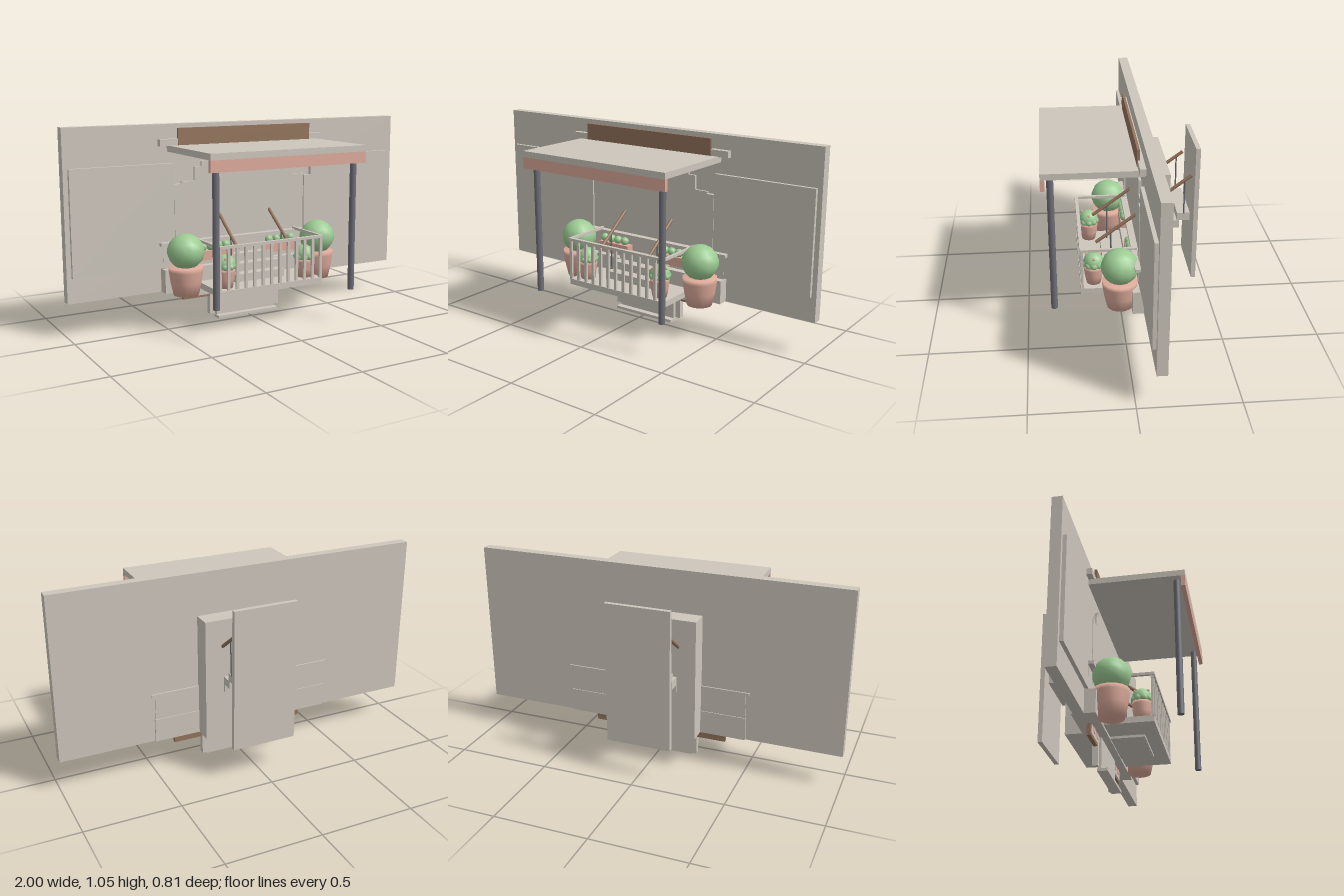
import * as THREE from 'three';

export function createModel() {
  const model = new THREE.Group();
  const mat = (name, color) => {
    const m = new THREE.MeshStandardMaterial({ color });
    m.name = name;
    return m;
  };
  const stone = mat('stone', 0xcdc6bc);
  const clay = mat('clay', 0xdeab9b);
  const leaf = mat('leaf', 0x9ccb93);
  const wood = mat('wood', 0x94745c);
  const iron = mat('iron', 0x6e6f78);

  const add = (name, geo, m, x = 0, y = 0, z = 0) => {
    const mesh = new THREE.Mesh(geo, m);
    mesh.name = name;
    mesh.position.set(x, y, z);
    model.add(mesh);
    return mesh;
  };
  // Box given by its ranges on each axis
  const box = (name, m, x0, x1, y0, y1, z0, z1) =>
    add(name, new THREE.BoxGeometry(x1 - x0, y1 - y0, z1 - z0), m, (x0 + x1) / 2, (y0 + y1) / 2, (z0 + z1) / 2);
  // The same box on both sides
  const pair = (name, m, x0, x1, ...rest) => {
    box(name + 'Left', m, x0, x1, ...rest);
    box(name + 'Right', m, -x1, -x0, ...rest);
  };
  // Round bar between two points
  const bar = (name, m, a, b, r, sides = 10) => {
    const dir = b.clone().sub(a);
    const mesh = add(name, new THREE.CylinderGeometry(r, r, dir.length(), sides), m);
    mesh.position.copy(a).addScaledVector(dir, 0.5);
    mesh.quaternion.setFromUnitVectors(new THREE.Vector3(0, 1, 0), dir.normalize());
  };
  const v = (x, y, z) => new THREE.Vector3(x, y, z);

  // Wall with raised side panels
  box('wall', stone, -1, 1, 0.18, 1.055, -0.143, -0.09);
  pair('wallPanel', stone, 0.42, 0.975, 0.31, 0.855, -0.091, -0.071);

  // Stepped door surround
  const steps = [[0.375, 0.18], [0.375, 0.755], [0.3, 0.755], [0.3, 0.83], [0.26, 0.83], [0.26, 0.857]];
  const outline = [...steps, ...steps.slice().reverse().map(([x, y]) => [-x, y])];
  const surround = new THREE.Shape(outline.map(([x, y]) => new THREE.Vector2(x, y)));
  add('doorSurround', new THREE.ExtrudeGeometry(surround, { depth: 0.014, bevelEnabled: false }), stone, 0, 0, -0.091);
  pair('pilaster', stone, 0.375, 0.42, 0.3, 0.745, -0.091, -0.068);

  // Low base wall, middle course and sill
  box('baseCourse', stone, -0.495, 0.495, 0.18, 0.305, -0.153, -0.033);
  box('middleCourse', stone, -0.49, 0.49, 0.305, 0.43, -0.149, -0.07);
  box('sill', stone, -0.51, 0.51, 0.43, 0.447, -0.15, -0.042);

  // Rear stair housing and back plate
  box('stairHousing', stone, -0.25, 0.25, 0.18, 0.83, -0.243, -0.14);
  box('backPlate', stone, -0.175, 0.17, 0.18, 0.93, -0.405, -0.381);

  // Stair flight
  for (let i = 0; i < 9; i++) {
    const top = 0.563 - i * 0.0424, z = -0.365 + i * 0.0555;
    box('stairTread', stone, -0.15, 0.15, top - 0.043, top, z, z + 0.067);
  }

  // Canopy, fascia, sign board and ledge
  box('canopy', stone, -0.45, 0.445, 0.915, 0.947, -0.09, 0.405);
  box('fascia', clay, -0.45, 0.445, 0.856, 0.915, 0.384, 0.405);
  box('signBoard', wood, -0.4, 0.4, 0.945, 1.035, -0.07, -0.057);
  box('ledge', stone, -0.5, 0.5, 0.945, 0.98, -0.09, -0.06);

  // Balcony floor and railing
  box('balconyFloor', stone, -0.31, 0.31, 0.193, 0.225, -0.04, 0.218);
  box('balconyUnderside', stone, -0.15, 0.15, 0.18, 0.195, -0.03, 0.14);
  box('frontHandrail', stone, -0.315, 0.315, 0.443, 0.457, 0.203, 0.222);
  pair('sideHandrail', stone, 0.3, 0.315, 0.443, 0.457, -0.07, 0.21);
  for (let i = 0; i < 13; i++) {
    const x = -0.305 + i * 0.0508;
    box('baluster', stone, x - 0.008, x + 0.008, 0.22, 0.446, 0.204, 0.216);
  }

  // Lower door plate, posts, foot and hanging wooden beams
  box('lowerPlate', stone, -0.18, 0.18, 0.015, 0.19, -0.09, -0.07);
  pair('lowerPost', stone, 0.187, 0.216, 0.02, 0.185, -0.11, -0.08);
  box('foot', stone, -0.185, 0.185, 0, 0.015, -0.09, -0.036);
  pair('hangingBeam', wood, 0.17, 0.372, 0.12, 0.185, -0.103, -0.083);
  pair('beamPanel', stone, 0.22, 0.36, 0.132, 0.182, -0.084, -0.08);
  pair('beamInsetInner', clay, 0.22, 0.25, 0.153, 0.18, -0.081, -0.077);
  pair('beamInsetOuter', clay, 0.29, 0.325, 0.153, 0.18, -0.081, -0.077);

  // Clay pot from a profile
  const pot = (name, x, y, z, r, h) => {
    const profile = [[0, 0], [0.7, 0], [0.86, 0.45], [0.95, 0.85], [0.96, 1], [0, 1]];
    const geo = new THREE.LatheGeometry(profile.map(([a, b]) => new THREE.Vector2(a * r, b * h)), 16);
    add(name, geo, clay, x, y, z);
  };

  for (const s of [-1, 1]) {
    // Canopy column
    bar('column', iron, v(s * 0.4, 0.18, 0.358), v(s * 0.4, 0.916, 0.358), 0.017, 16);

    // Large potted bush
    pot('largePot', s * 0.405, 0.18, 0.025, 0.094, 0.15);
    const bush = add('largeBush', new THREE.SphereGeometry(0.097, 12, 9), leaf, s * 0.405, 0.408, 0.025);
    bush.scale.y = 0.96;

    // Small potted bush with a scalloped rim and blossoms
    pot('smallPot', s * 0.24, 0.225, 0.148, 0.054, 0.1);
    add('smallBush', new THREE.SphereGeometry(0.054, 12, 8), leaf, s * 0.24, 0.346, 0.148);
    for (let i = 0; i < 9; i++) {
      const a = (i / 9) * Math.PI * 2, c = Math.cos(a), d = Math.sin(a);
      add('bushLobe', new THREE.SphereGeometry(0.019, 8, 6), leaf, s * 0.24 + c * 0.041, 0.338, 0.148 + d * 0.041);
      if (i % 3 === 0)
        add('blossom', new THREE.SphereGeometry(0.008, 6, 4), clay, s * 0.24 + c * 0.04, 0.381, 0.148 + d * 0.04);
    }

    // Window planter with round plants
    box('planterBox', clay, Math.min(s * 0.1, s * 0.3), Math.max(s * 0.1, s * 0.3), 0.335, 0.385, -0.07, -0.025);
    for (let i = 0; i < 4; i++)
      add('planterPlant', new THREE.SphereGeometry(0.023, 10, 7), leaf, s * (0.135 + i * 0.046), 0.405, -0.046);

    // Sloping stair handrail on thin posts
    bar('stairHandrail', wood, v(s * 0.155, 0.413, 0.13), v(s * 0.155, 0.78, -0.366), 0.009);
    for (const [y0, y1, z] of [[0.23, 0.47, 0.05], [0.56, 0.755, -0.332]])
      bar('stairRailPost', iron, v(s * 0.15, y0, z), v(s * 0.155, y1, z), 0.004, 8);
  }
  return model;
}
